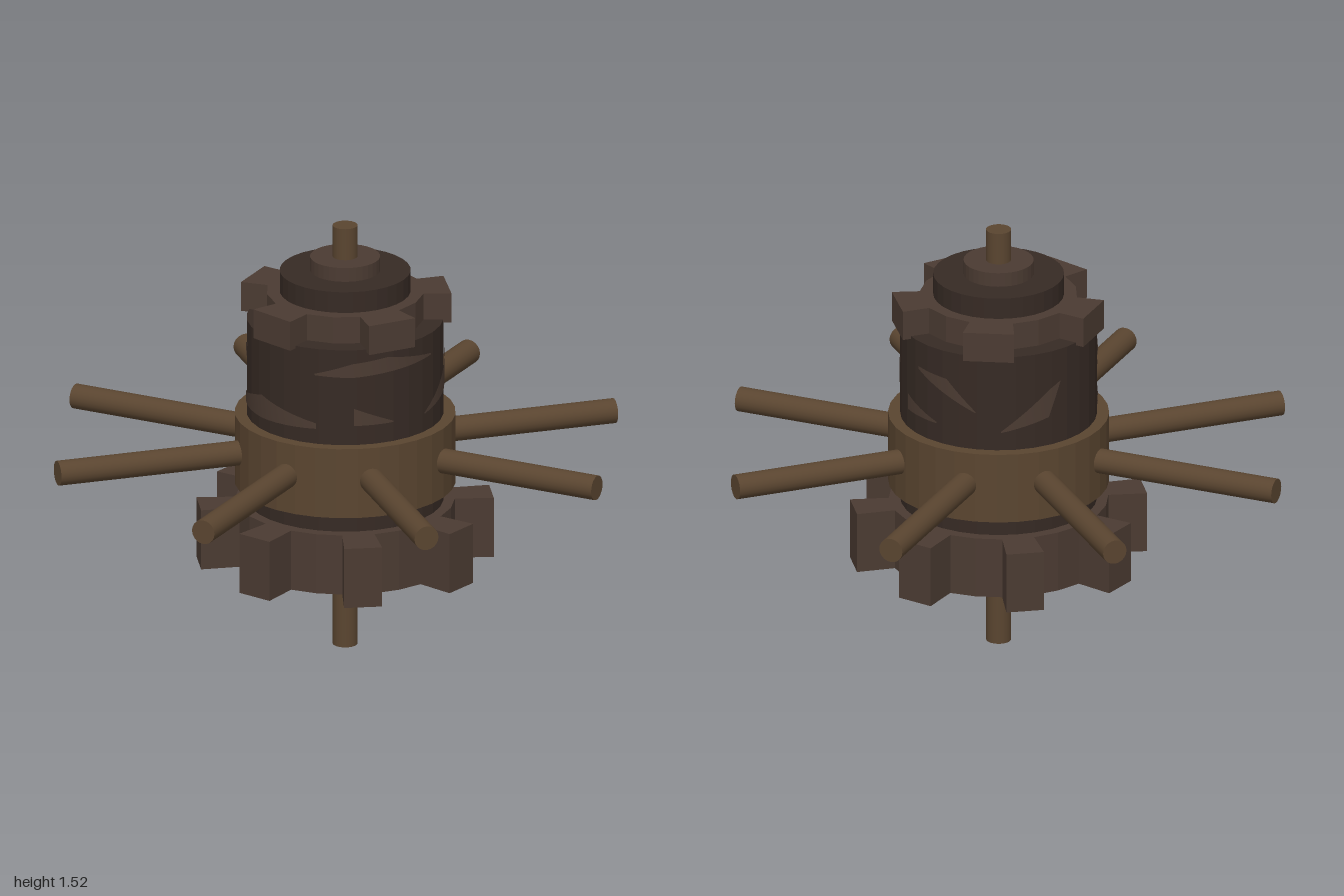
import * as THREE from 'three';

const AXIS_X = 0.035; // the drum and shaft stand slightly off the spoke centre
const rad = THREE.MathUtils.degToRad;

const material = (color, extra = {}) => new THREE.MeshStandardMaterial({ color, ...extra });
const wood = material(0x5a4530);
const darkWood = material(0x362a24, { flatShading: true });
const collarWood = material(0x5a4530, { flatShading: true });
const gearWood = material(0x4b3b32, { flatShading: true });
const shardWood = material(0x4b3b32, { side: THREE.DoubleSide });

function add(group, name, geometry, mat) {
  const mesh = new THREE.Mesh(geometry, mat);
  mesh.name = name;
  group.add(mesh);
  return mesh;
}

// Upright cylinder between two heights
function column(group, name, radius, y0, y1, mat, sides = 32) {
  const mesh = add(group, name, new THREE.CylinderGeometry(radius, radius, y1 - y0, sides), mat);
  mesh.position.y = (y0 + y1) / 2;
}

// Toothed wheel: half angles at root and tip are in degrees
function gear(group, name, { teeth, offset, root, tip, rootHalf, tipHalf, y0, y1 }) {
  const points = [];
  const put = (r, deg) => points.push(new THREE.Vector2(r * Math.cos(rad(deg)), r * Math.sin(rad(deg))));
  for (let i = 0; i < teeth; i++) {
    const a = offset + (i * 360) / teeth;
    put(root, a - rootHalf);
    put(tip, a - tipHalf);
    put(tip, a + tipHalf);
    put(root, a + rootHalf);
    put(root, a + 180 / teeth);
  }
  const geometry = new THREE.ExtrudeGeometry(new THREE.Shape(points), { depth: y1 - y0, bevelEnabled: false });
  geometry.rotateX(-Math.PI / 2);
  geometry.translate(0, y0, 0);
  add(group, name, geometry, gearWood);
}

// Raised patch wrapped on the drum; columns are [angle, low, high]
function shard(group, columns, radius) {
  const positions = [];
  const index = [];
  const steps = 6;
  const count = (columns.length - 1) * steps;
  for (let i = 0; i <= count; i++) {
    const k = Math.min(Math.floor(i / steps), columns.length - 2);
    const t = i / steps - k;
    const [a, low, high] = columns[k].map((v, j) => THREE.MathUtils.lerp(v, columns[k + 1][j], t));
    const x = radius * Math.sin(rad(a));
    const z = radius * Math.cos(rad(a));
    positions.push(x, low, z, x, high, z);
    if (i < count) index.push(2 * i, 2 * i + 2, 2 * i + 1, 2 * i + 1, 2 * i + 2, 2 * i + 3);
  }
  const geometry = new THREE.BufferGeometry();
  geometry.setAttribute('position', new THREE.Float32BufferAttribute(positions, 3));
  geometry.setIndex(index);
  geometry.computeVertexNormals();
  add(group, 'drumShard', geometry, shardWood);
}

export function createModel() {
  const model = new THREE.Group();
  model.name = 'capstan';

  // Shaft, drum and stepped cap
  const body = new THREE.Group();
  body.name = 'body';
  body.position.x = AXIS_X;
  model.add(body);
  column(body, 'shaft', 0.043, 0, 1.523, wood, 24);
  column(body, 'drum', 0.337, 0.5, 1.19, darkWood);
  column(body, 'collar', 0.378, 0.594, 0.845, collarWood);
  column(body, 'capLower', 0.224, 1.27, 1.36, darkWood);
  column(body, 'capUpper', 0.12, 1.35, 1.41, gearWood);

  // Wheels at the foot and the head of the drum
  gear(body, 'lowerGear', {
    teeth: 8, offset: 34, root: 0.375, tip: 0.508, rootHalf: 8.5, tipHalf: 7.4, y0: 0.315, y1: 0.53,
  });
  gear(body, 'upperGear', {
    teeth: 5, offset: 36, root: 0.27, tip: 0.365, rootHalf: 16, tipHalf: 14, y0: 1.18, y1: 1.285,
  });

  // Angular slivers of the screw showing through the drum
  const shards = [
    [[9, 1.095, 1.1], [31, 1.09, 1.14], [52, 1.1, 1.155], [87, 1.115, 1.12]],
    [[-74, 0.89, 0.9], [-30, 0.89, 0.973], [10, 0.9, 0.92]],
    [[32, 0.915, 0.978], [56, 0.915, 0.92]],
    [[-71, 1.03, 1.045], [-57, 1.06, 1.11], [-52, 1.115, 1.12]],
    [[80, 0.91, 0.915], [116, 0.95, 1.05], [123, 1.07, 1.075]],
    [[138, 0.915, 0.973], [165, 0.915, 0.92]],
    [[150, 1.09, 1.1], [172, 1.03, 1.09], [190, 0.98, 0.985]],
    [[205, 0.91, 0.915], [234, 0.95, 1.05], [242, 1.07, 1.075]],
  ];
  shards.forEach((columns) => shard(body, columns, 0.3395));

  // Eight spokes, made as four rods through the collar
  const spokes = new THREE.Group();
  spokes.name = 'spokes';
  spokes.position.y = 0.727;
  model.add(spokes);
  for (let i = 0; i < 4; i++) {
    const rod = add(spokes, 'spokeRod', new THREE.CylinderGeometry(0.043, 0.043, 2, 20), wood);
    rod.rotation.set(0, (i * Math.PI) / 4, Math.PI / 2);
  }
  return model;
}
